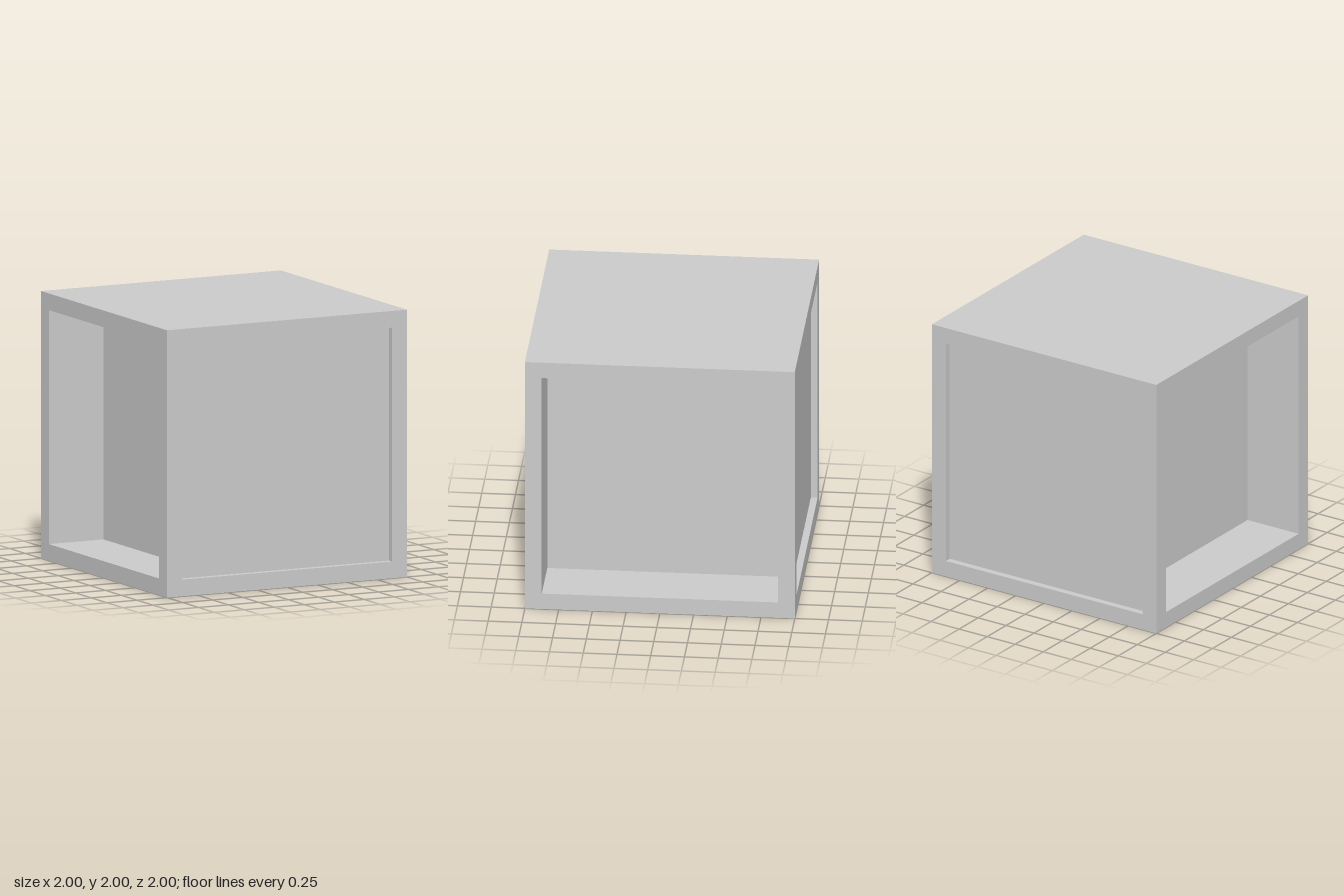
import * as THREE from 'three';

const HALF = 1;          // half the cube
const OPEN = 0.875;      // half the opening in each side
const SHALLOW = 0.05;    // recess depth, front and back
const DEEP = 0.455;      // recess depth, left and right

export function createModel() {
  const model = new THREE.Group();
  model.name = 'recessedCube';
  const material = new THREE.MeshStandardMaterial({ color: 0xcccccc, flatShading: true });

  const add = (parent, name, geometry) => {
    const mesh = new THREE.Mesh(geometry, material);
    mesh.name = name;
    parent.add(mesh);
    return mesh;
  };

  // Square outline, counter-clockwise
  const square = (Type, r) => {
    const s = new Type();
    s.moveTo(-r, -r);
    s.lineTo(r, -r);
    s.lineTo(r, r);
    s.lineTo(-r, r);
    s.closePath();
    return s;
  };

  // One side facing +z: flat border, four recess walls and the sunken panel
  const makeSide = (name, depth, angle) => {
    const side = new THREE.Group();
    side.name = name;

    const outline = square(THREE.Shape, HALF);
    outline.holes.push(square(THREE.Path, OPEN));
    add(side, 'border', new THREE.ShapeGeometry(outline).translate(0, 0, HALF));

    for (let i = 0; i < 4; i++) {
      const wall = new THREE.PlaneGeometry(2 * OPEN, depth)
        .rotateX(-Math.PI / 2)
        .translate(0, -OPEN, HALF - depth / 2)
        .rotateZ(i * Math.PI / 2);
      add(side, 'recessWall', wall);
    }

    add(side, 'panel', new THREE.PlaneGeometry(2 * OPEN, 2 * OPEN).translate(0, 0, HALF - depth));

    side.rotation.y = angle;
    side.position.y = HALF;
    model.add(side);
  };

  makeSide('frontSide', SHALLOW, 0);
  makeSide('leftSide', DEEP, Math.PI / 2);
  makeSide('backSide', SHALLOW, Math.PI);
  makeSide('rightSide', DEEP, -Math.PI / 2);

  // Plain top and bottom
  const face = () => new THREE.PlaneGeometry(2 * HALF, 2 * HALF);
  add(model, 'top', face().rotateX(-Math.PI / 2).translate(0, 2 * HALF, 0));
  add(model, 'bottom', face().rotateX(Math.PI / 2));

  return model;
}
